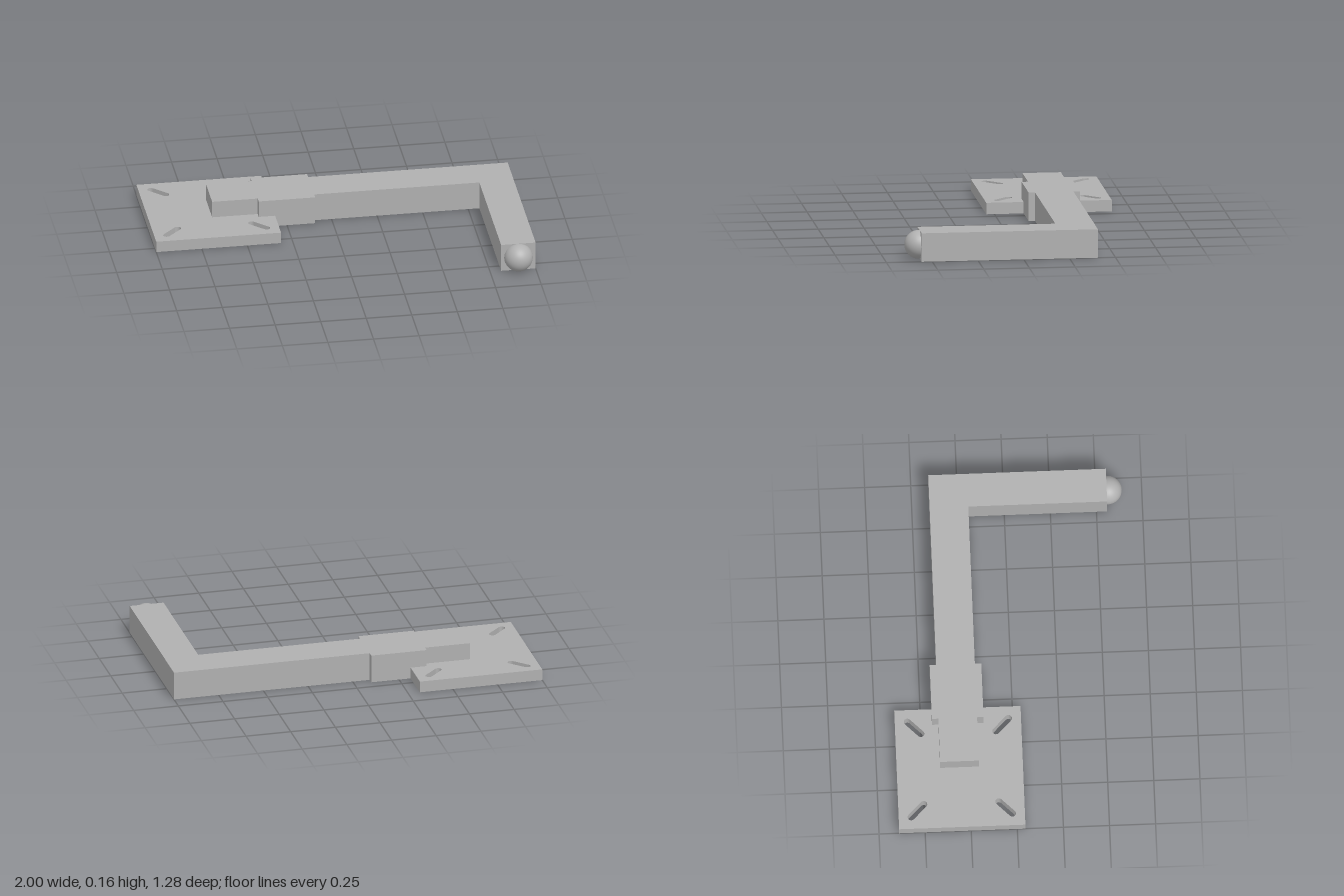
import * as THREE from 'three';

const ARM_HEIGHT = 0.157;
const PLATE_HEIGHT = 0.063;

// Extrude a plan outline (x, -z) upward from the ground
function slab(shape, height) {
  const geometry = new THREE.ExtrudeGeometry(shape, { depth: height, bevelEnabled: false, curveSegments: 12 });
  return geometry.rotateX(-Math.PI / 2);
}

function outline(points) {
  return new THREE.Shape(points.map(([x, z]) => new THREE.Vector2(x, -z)));
}

// Rounded slot centred at (cx, cy), lying along the given angle
function slot(cx, cy, angle, half, r) {
  const dx = Math.cos(angle) * half, dy = Math.sin(angle) * half;
  const path = new THREE.Path();
  path.absarc(cx + dx, cy + dy, r, angle - Math.PI / 2, angle + Math.PI / 2, false);
  path.absarc(cx - dx, cy - dy, r, angle + Math.PI / 2, angle + Math.PI * 1.5, false);
  path.closePath();
  return path;
}

export function createModel() {
  const model = new THREE.Group();
  model.name = 'mountingArm';
  const grey = new THREE.MeshStandardMaterial({ color: 0xb0b0b0 });
  grey.name = 'plain grey';

  const add = (name, geometry) => {
    const mesh = new THREE.Mesh(geometry, grey);
    mesh.name = name;
    model.add(mesh);
    return mesh;
  };

  // Square plate with four diagonal slots
  const cx = -0.6575, cz = -0.2985, h = 0.3425;
  const plate = outline([[cx - h, cz + h], [cx + h, cz + h], [cx + h, cz - h], [cx - h, cz - h]]);
  for (const sx of [-1, 1]) {
    for (const sy of [-1, 1]) {
      plate.holes.push(slot(cx + sx * 0.239, -cz + sy * 0.239, Math.atan2(sy, sx), 0.05, 0.019));
    }
  }
  add('mountingPlate', slab(plate, PLATE_HEIGHT));

  // L-shaped arm
  add('arm', slab(outline([
    [-0.655, -0.195], [0.811, -0.195], [0.811, 0.558],
    [1, 0.558], [1, -0.405], [-0.655, -0.405],
  ]), ARM_HEIGHT));

  // Cheeks thickening the arm at the plate edge
  for (const side of [-1, 1]) {
    const cheek = add('armCheek', new THREE.BoxGeometry(0.31, ARM_HEIGHT, 0.035));
    cheek.position.set(-0.25, ARM_HEIGHT / 2, -0.3 + side * 0.1225);
  }

  // Round tip half set into the arm's end
  const tip = add('roundTip', new THREE.SphereGeometry(0.078, 32, 24));
  tip.position.set(0.905, ARM_HEIGHT / 2, 0.563);

  return model;
}
